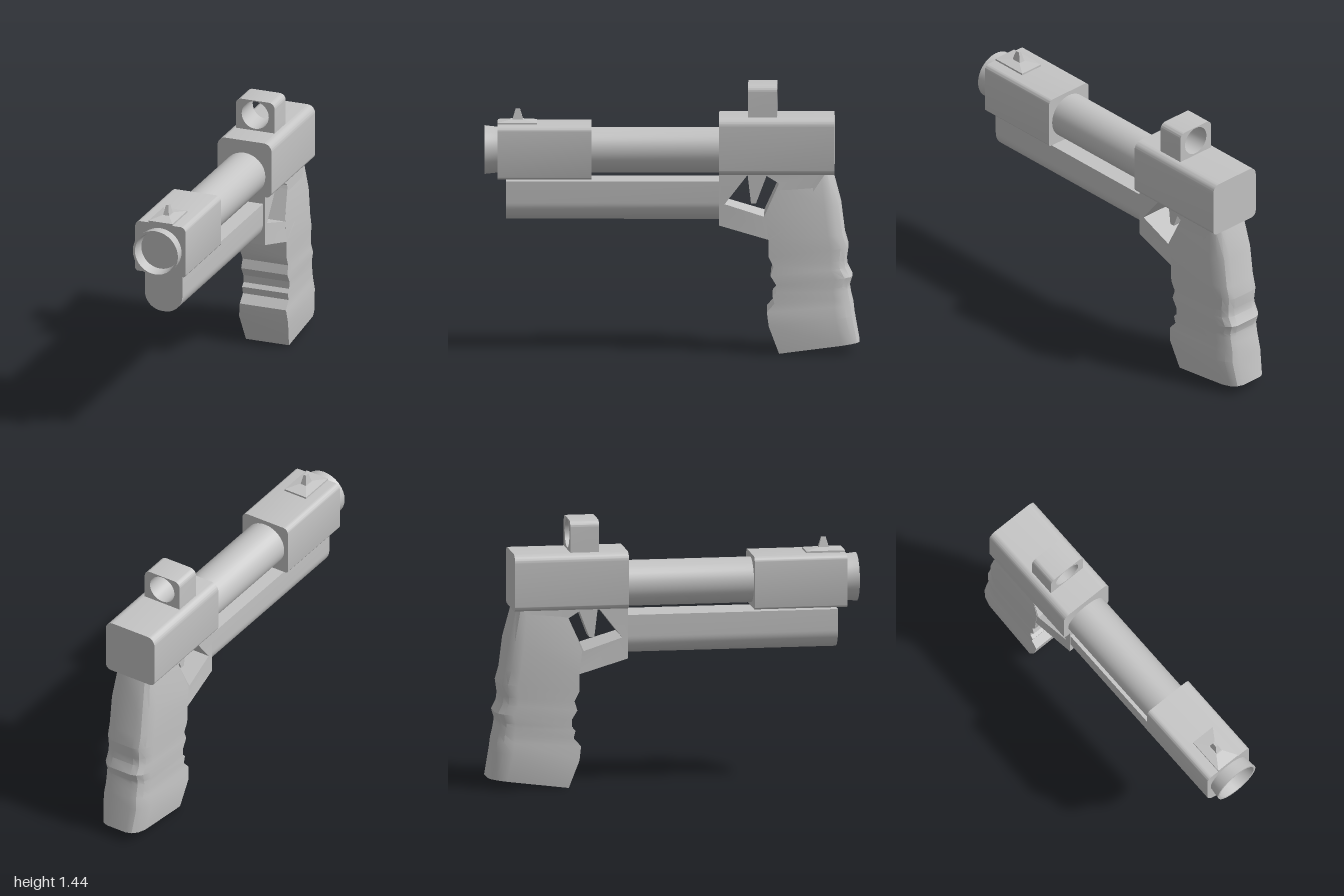
import * as THREE from 'three';
import { toCreasedNormals } from 'three/addons/utils/BufferGeometryUtils.js';

const grey = new THREE.MeshStandardMaterial({ color: 0xc4c4c4 });
grey.name = 'grey';

export function createModel() {
  const model = new THREE.Group();
  const CX = -0.004;

  const add = (name, geo, crease = 0.6) => {
    const mesh = new THREE.Mesh(toCreasedNormals(geo, crease), grey);
    mesh.name = name;
    model.add(mesh);
    return mesh;
  };

  // Rectangle with separate radii for the top and bottom corners
  const roundRect = (x0, x1, y0, y1, rt, rb) => {
    const s = new THREE.Shape();
    s.moveTo(x0 + rb, y0);
    s.lineTo(x1 - rb, y0);
    if (rb) s.absarc(x1 - rb, y0 + rb, rb, -Math.PI / 2, 0);
    s.lineTo(x1, y1 - rt);
    if (rt) s.absarc(x1 - rt, y1 - rt, rt, 0, Math.PI / 2);
    s.lineTo(x0 + rt, y1);
    if (rt) s.absarc(x0 + rt, y1 - rt, rt, Math.PI / 2, Math.PI);
    s.lineTo(x0, y0 + rb);
    if (rb) s.absarc(x0 + rb, y0 + rb, rb, Math.PI, Math.PI * 1.5);
    return s;
  };
  const alongZ = (shape, z0, z1, curveSegments = 6) =>
    new THREE.ExtrudeGeometry(shape, { depth: z1 - z0, bevelEnabled: false, curveSegments })
      .translate(0, 0, z0);

  // Side outline given as [z, y], extruded across x
  const sidePoints = (pts) => pts.map(([z, y]) => new THREE.Vector2(-z, y));
  const acrossX = (shape, half) =>
    new THREE.ExtrudeGeometry(shape, { depth: half * 2, bevelEnabled: false })
      .translate(0, 0, -half).rotateY(Math.PI / 2);

  // Rear body and front block
  add('rearBody', alongZ(roundRect(-0.157, 0.153, 0.965, 1.272, 0.045, 0.03), -0.865, -0.25));
  add('frontBlock', alongZ(roundRect(CX - 0.145, CX + 0.145, 0.94, 1.225, 0.03, 0.015), 0.43, 0.93));

  // Barrel with a stepped, narrowing bore
  const barrelProfile = [
    [0, -0.27], [0.122, -0.27], [0.122, 0.93], [0.13, 1], [0.118, 1], [0.112, 0.95],
    [0.107, 0.9], [0.102, 0.8], [0.097, 0.7], [0.09, 0.55], [0, 0.55],
  ].map(([r, z]) => new THREE.Vector2(r, z));
  add('barrel', new THREE.LatheGeometry(barrelProfile, 32).rotateX(Math.PI / 2).translate(CX, 1.08, 0));

  // Lower tube with a rounded underside
  add('lowerTube', alongZ(roundRect(CX - 0.108, CX + 0.108, 0.71, 0.925, 0, 0.1), -0.26, 0.885));

  // Frame and trigger guard, widening toward the grip
  const frame = new THREE.Shape(sidePoints([
    [-0.25, 0.975], [-0.25, 0.69], [-0.515, 0.615], [-0.62, 0.68], [-0.82, 0.975],
  ]));
  frame.holes.push(new THREE.Path(sidePoints([
    [-0.4, 0.96], [-0.28, 0.805], [-0.49, 0.74], [-0.57, 0.917], [-0.5, 0.96],
  ])));
  const frameGeo = acrossX(frame, 0.115);
  const pos = frameGeo.attributes.position;
  for (let i = 0; i < pos.count; i++) {
    if (pos.getY(i) < 0.77) {
      const t = THREE.MathUtils.clamp((-pos.getZ(i) - 0.25) / 0.26, 0, 1);
      pos.setX(i, pos.getX(i) * (1 + 0.15 * t));
    }
  }
  add('triggerGuard', frameGeo, 0.3);
  add('trigger', acrossX(new THREE.Shape(sidePoints([
    [-0.4, 0.97], [-0.42, 0.8], [-0.447, 0.8], [-0.5, 0.94], [-0.51, 0.97],
  ])), 0.05));

  // Grip sections from top to bottom: front z, y, back z, y, half width
  const sections = [
    [-0.57, 0.92, -0.856, 0.968, 0.114], [-0.5, 0.74, -0.9, 0.8, 0.132],
    [-0.513, 0.615, -0.92, 0.64, 0.133], [-0.515, 0.52, -0.94, 0.57, 0.133],
    [-0.54, 0.47, -0.93, 0.5, 0.131], [-0.525, 0.42, -0.935, 0.46, 0.133],
    [-0.555, 0.37, -0.96, 0.41, 0.133], [-0.555, 0.33, -0.945, 0.36, 0.131],
    [-0.535, 0.31, -0.948, 0.34, 0.132], [-0.545, 0.27, -0.955, 0.3, 0.131],
    [-0.505, 0.225, -0.965, 0.26, 0.133], [-0.515, 0.15, -0.972, 0.2, 0.141],
    [-0.57, 0, -0.998, 0.055, 0.124],
    // rim and hollow underside
    [-0.6, 0.004, -0.97, 0.051, 0.1], [-0.65, 0.14, -0.94, 0.18, 0.085],
  ];
  const half = [[0, 1], [0.78, 1], [0.9, 0.9], [0.97, 0.72], [1, 0.48]];
  const ring = [...half, ...half.map(([t, w]) => [t, -w]).reverse()];
  const n = ring.length;
  const verts = [], index = [];
  sections.forEach(([fz, fy, bz, by, w], i) => {
    ring.forEach(([t, k], j) => {
      verts.push(k * w - 0.001, fy + (by - fy) * t, fz + (bz - fz) * t);
      if (i < sections.length - 1) {
        const a = i * n + j, b = i * n + (j + 1) % n;
        index.push(a, a + n, b + n, a, b + n, b);
      }
    });
  });
  const last = (sections.length - 1) * n;
  for (let k = 1; k < n - 1; k++) {
    index.push(0, k, k + 1, last, last + k + 1, last + k);
  }
  const gripGeo = new THREE.BufferGeometry();
  gripGeo.setAttribute('position', new THREE.Float32BufferAttribute(verts, 3));
  gripGeo.setIndex(index);
  add('grip', gripGeo, 0.45);

  // Rear ring sight
  const sight = roundRect(CX - 0.112, CX + 0.112, 1.26, 1.443, 0.035, 0);
  const hole = new THREE.Path();
  hole.absarc(CX, 1.36, 0.078, 0, Math.PI * 2, true);
  sight.holes.push(hole);
  add('rearSight', alongZ(sight, -0.56, -0.405, 16));

  // Front sight: thin plate, shallow slope, pointed post
  const frustum = (name, topScale, w, h, d, y, z) => {
    const geo = new THREE.CylinderGeometry(topScale * Math.SQRT1_2, Math.SQRT1_2, 1, 4)
      .rotateY(Math.PI / 4).scale(w, h, d).translate(CX, y + h / 2, z);
    add(name, geo, 0.1);
  };
  frustum('sightPlate', 1, 0.138, 0.015, 0.21, 1.22, 0.825);
  frustum('sightSlope', 0.3, 0.138, 0.011, 0.21, 1.235, 0.825);
  frustum('sightPost', 0.4, 0.036, 0.062, 0.06, 1.238, 0.823);

  return model;
}
